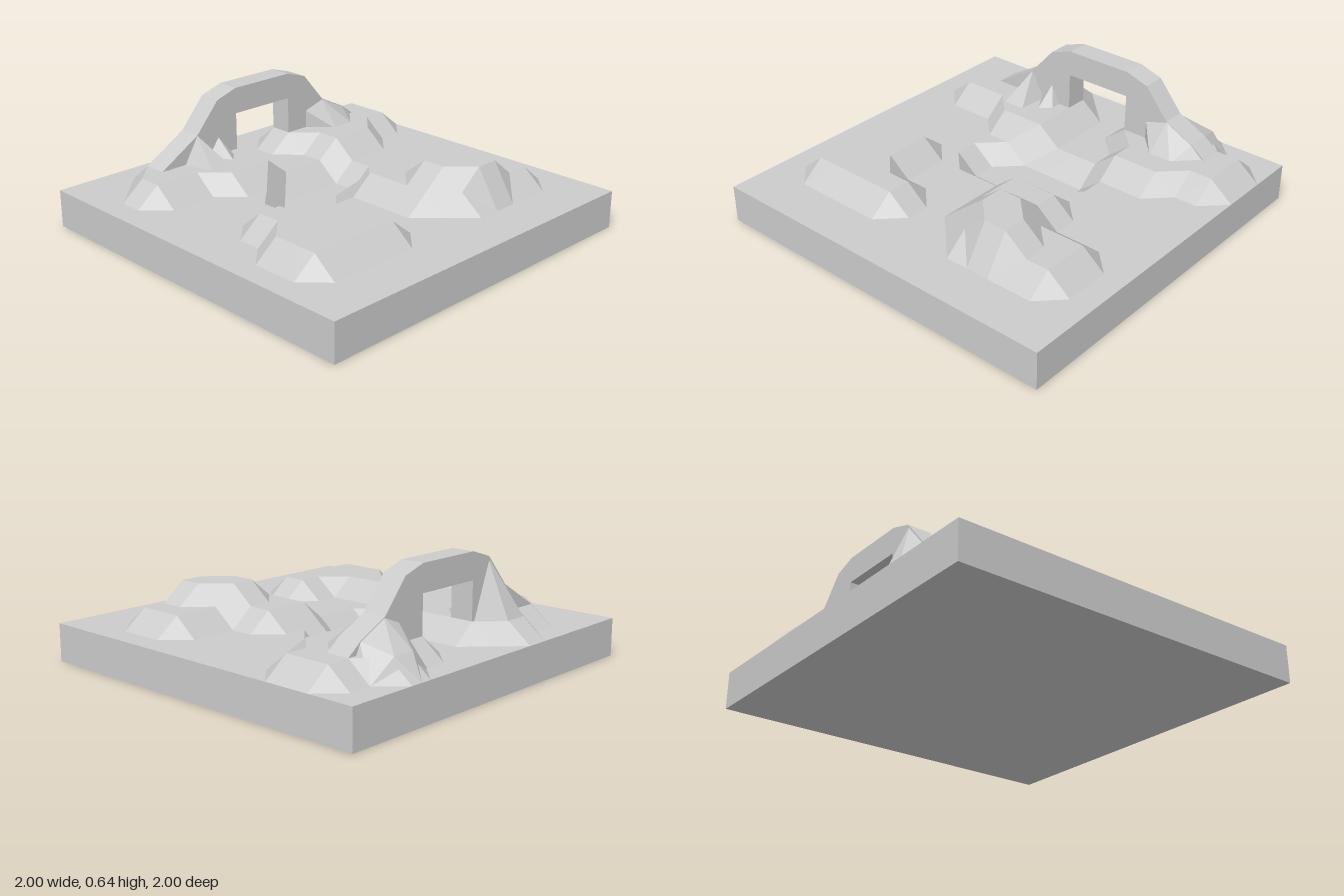
import * as THREE from 'three';
import { ConvexGeometry } from 'three/addons/geometries/ConvexGeometry.js';

const N = 16, STEP = 0.125, GROUND = 0.2;
const mat = new THREE.MeshStandardMaterial({ color: 0xcccccc, flatShading: true });

// Raised and sunken runs of grid points: [row, first column, last column, height]
const RUNS = [
  // mounds at the back
  [1, 5, 6, 0.3], [1, 12, 13, 0.3], [2, 3, 7, 0.3], [2, 10, 15, 0.3],
  [3, 2, 7, 0.3], [3, 10, 15, 0.3], [4, 2, 7, 0.3], [4, 11, 15, 0.3],
  [5, 5, 7, 0.3], [5, 11, 13, 0.3],
  // pit in the middle
  [6, 7, 10, 0.1], [7, 6, 10, 0.1], [8, 6, 8, 0.1],
  // front mound on the -x side
  [9, 3, 4, 0.3], [10, 3, 4, 0.3], [11, 2, 4, 0.3], [12, 2, 6, 0.3], [13, 2, 6, 0.3],
  // two-step front mound on the +x side
  [9, 9, 11, 0.3], [10, 9, 11, 0.3], [11, 9, 14, 0.3], [12, 9, 14, 0.3], [13, 10, 14, 0.3],
  [11, 10, 11, 0.4], [12, 10, 12, 0.4], [13, 11, 12, 0.4],
];

function mesh(name, geometry) {
  const m = new THREE.Mesh(geometry, mat);
  m.name = name;
  return m;
}

// Height grid, each cell split along its flatter diagonal
function terrainGeometry() {
  const h = Array.from({ length: N + 1 }, () => new Array(N + 1).fill(GROUND));
  for (const [row, a, b, y] of RUNS) for (let c = a; c <= b; c++) h[row][c] = y;
  const out = [];
  const put = (...pts) => pts.forEach(([c, r]) => out.push(c * STEP - 1, h[r][c], r * STEP - 1));
  for (let r = 0; r < N; r++) {
    for (let c = 0; c < N; c++) {
      const nw = [c, r], ne = [c + 1, r], sw = [c, r + 1], se = [c + 1, r + 1];
      const down = Math.abs(h[r][c] - h[r + 1][c + 1]);
      const up = Math.abs(h[r][c + 1] - h[r + 1][c]);
      if (down < up - 1e-6) put(nw, sw, se, nw, se, ne);
      else put(nw, sw, ne, ne, sw, se);
    }
  }
  const g = new THREE.BufferGeometry();
  g.setAttribute('position', new THREE.Float32BufferAttribute(out, 3));
  g.computeVertexNormals();
  return g;
}

// Slab walls and underside: a box without its top face
function slabGeometry() {
  const g = new THREE.BoxGeometry(2, GROUND, 2);
  const index = Array.from(g.index.array);
  index.splice(12, 6);
  g.setIndex(index);
  g.clearGroups();
  return g.translate(0, GROUND / 2, 0);
}

// Rock arch: side profile with a square opening
function archGeometry() {
  const profile = [
    [-0.625, 0.3], [-0.39, 0.44], [-0.25, 0.6], [-0.125, 0.64], [0.25, 0.64], [0.375, 0.6],
    [0.51, 0.44], [0.67, 0.36], [0.75, 0.3], [0.75, 0.22], [0.25, 0.22], [0.25, 0.5],
    [-0.125, 0.5], [-0.125, 0.22], [-0.625, 0.22],
  ];
  const shape = new THREE.Shape(profile.map(([x, y]) => new THREE.Vector2(x, y)));
  return new THREE.ExtrudeGeometry(shape, { depth: 0.125, bevelEnabled: false }).translate(0, 0, -0.75);
}

const rock = (name, pts) =>
  mesh(name, new ConvexGeometry(pts.map((p) => new THREE.Vector3(...p))));

export function createModel() {
  const group = new THREE.Group();
  group.name = 'terrainTile';
  group.add(mesh('slab', slabGeometry()), mesh('terrain', terrainGeometry()), mesh('arch', archGeometry()));

  // Rocks that prop up the feet of the arch
  group.add(
    rock('backButtress', [
      [-0.39, 0.44, -0.74], [-0.25, 0.6, -0.74], [-0.25, 0.29, -0.74], [-0.39, 0.29, -0.74],
      [-0.38, 0.29, -0.875], [-0.25, 0.29, -0.875], [-0.14, 0.29, -0.75],
    ]),
    rock('frontSpur', [
      [-0.39, 0.44, -0.63], [-0.48, 0.29, -0.63], [-0.3, 0.29, -0.63],
      [-0.44, 0.29, -0.44], [-0.31, 0.29, -0.44],
    ]),
    rock('smallFrontSpur', [
      [-0.25, 0.4, -0.63], [-0.33, 0.29, -0.63], [-0.19, 0.29, -0.63],
      [-0.25, 0.29, -0.5], [-0.19, 0.29, -0.56],
    ]),
    rock('farFrontSpur', [
      [0.38, 0.4, -0.63], [0.51, 0.44, -0.63], [0.67, 0.36, -0.63], [0.75, 0.29, -0.63],
      [0.38, 0.29, -0.63], [0.5, 0.29, -0.5], [0.625, 0.29, -0.5],
    ]),
    rock('farBackButtress', [
      [0.41, 0.4, -0.74], [0.51, 0.44, -0.74], [0.67, 0.36, -0.74], [0.37, 0.2, -0.74], [0.75, 0.2, -0.74],
      [0.37, 0.2, -0.875], [0.5, 0.31, -0.9], [0.625, 0.31, -0.9], [0.75, 0.2, -0.875], [0.56, 0.2, -1],
    ]),
  );
  return group;
}
